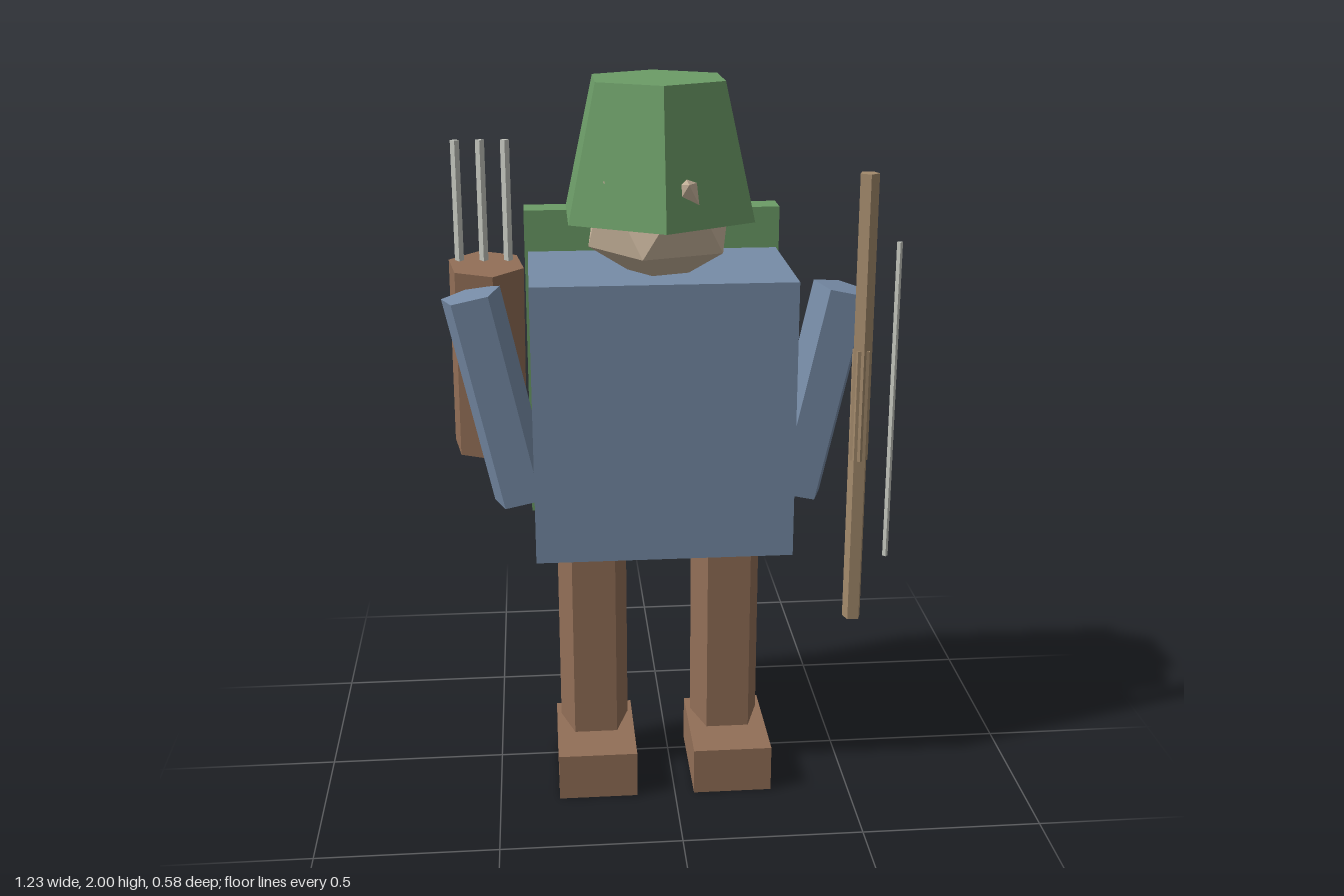
import * as THREE from 'three';

function paint(name, color) {
  const m = new THREE.MeshStandardMaterial({ color, flatShading: true });
  m.name = name;
  return m;
}

export function createModel() {
  const mats = {
    green: paint('cloth green', 0x6c9c67),
    blue: paint('tunic blue', 0x778ca7),
    brown: paint('leather brown', 0x926f57),
    wood: paint('bow wood', 0xa38a6c),
    skin: paint('skin', 0xc8b49c),
    grey: paint('shaft grey', 0xc4c6be),
  };
  const model = new THREE.Group();
  model.name = 'archer';
  const axis = -0.027; // mirror line of the figure

  function add(name, geometry, mat, x, y, z) {
    const mesh = new THREE.Mesh(geometry, mats[mat]);
    mesh.name = name;
    mesh.position.set(x, y, z);
    model.add(mesh);
    return mesh;
  }
  const box = (w, h, d) => new THREE.BoxGeometry(w, h, d);
  const prism = (r, h, sides, turn = 0, rTop = r) =>
    new THREE.CylinderGeometry(rTop, r, h, sides).rotateY(turn);

  // Torso and the cloak panel on the back
  add('torso', box(0.705, 0.77, 0.43), 'blue', axis, 1.115, 0.03);
  add('cloak', box(0.725, 0.905, 0.09), 'green', axis, 1.1625, -0.24);

  // Head under a tapered six-sided hood
  const head = new THREE.IcosahedronGeometry(0.2157, 0).rotateZ(-0.5536);
  add('head', head, 'skin', -0.025, 1.661, 0.06);
  add('hood', prism(0.283, 0.36, 6, 0, 0.195), 'green', axis, 1.82, 0.007);
  add('hoodStud', new THREE.IcosahedronGeometry(0.012, 0), 'brown', 0.033, 1.75, 0.225);

  // Five-sided limbs with the ridge at the back, mirrored left and right
  for (const [side, s] of [['left', 1], ['right', -1]]) {
    const arm = add(side + 'Arm', prism(0.086, 0.6, 5, Math.PI), 'blue', axis + s * 0.448, 1.138, 0.03);
    arm.rotation.z = -s * 0.212;
    add(side + 'Leg', prism(0.104, 0.76, 5, Math.PI), 'brown', axis + s * 0.193, 0.38, 0.035);
    add(side + 'Shoe', box(0.223, 0.135, 0.317), 'brown', axis + s * 0.193, 0.0675, 0.1);
  }

  // Quiver tilted behind the shoulder, with three arrows
  const quiver = add('quiver', prism(0.111, 0.556, 6, 0.18), 'brown', -0.5, 1.206, -0.153);
  quiver.rotation.set(0.12, 0, -0.012);
  for (const x of [-0.571, -0.503, -0.435]) {
    add('arrow', prism(0.0125, 0.6, 4), 'grey', x, 1.52, -0.152);
  }

  // Bow made of two overlapping staves and a string
  add('upperBowStave', prism(0.027, 0.795, 5), 'wood', 0.518, 1.3675, 0.146);
  add('lowerBowStave', prism(0.027, 0.795, 5, Math.PI), 'wood', 0.518, 0.8875, 0.146);
  add('bowString', prism(0.008, 0.905, 4), 'grey', 0.608, 1.1275, 0.144);

  return model;
}
